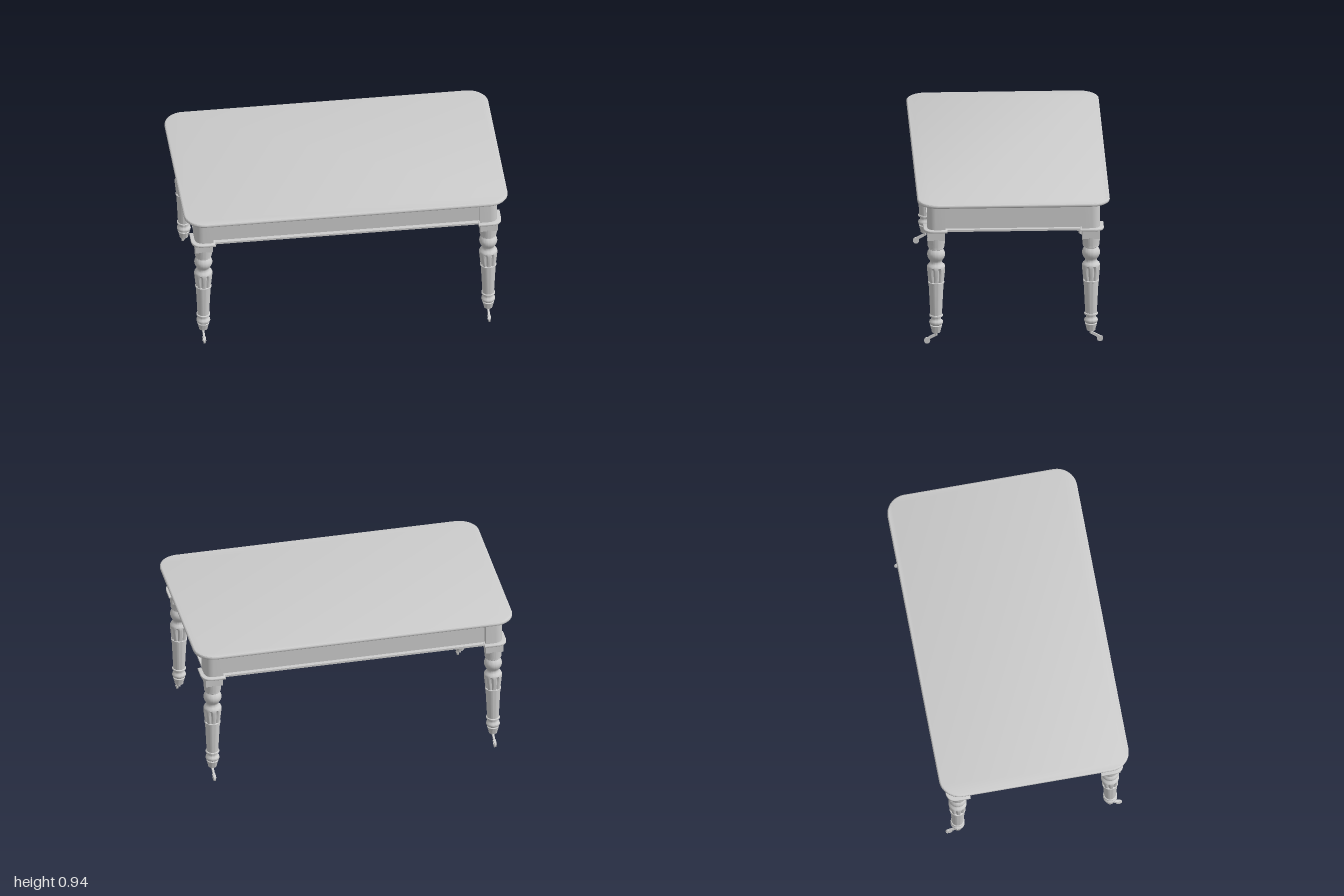
import * as THREE from 'three';
import { toCreasedNormals } from 'three/addons/utils/BufferGeometryUtils.js';

const LEG_X = 0.88, LEG_Z = 0.475;

export function createModel() {
  const table = new THREE.Group();
  table.name = 'table';
  const wood = new THREE.MeshStandardMaterial({ color: 0xcccccc });
  wood.name = 'pale grey';

  const add = (parent, name, geo, x = 0, y = 0, z = 0) => {
    const mesh = new THREE.Mesh(geo, wood);
    mesh.name = name;
    mesh.position.set(x, y, z);
    parent.add(mesh);
    return mesh;
  };
  const box = (parent, name, w, h, d, x, y, z) =>
    add(parent, name, new THREE.BoxGeometry(w, h, d), x, y, z);

  // Extrude a plan shape (x, z) downwards from y = 0
  const slab = (shape, depth, bevel = 0) => {
    const geo = new THREE.ExtrudeGeometry(shape, {
      depth: depth - 2 * bevel, curveSegments: 12,
      bevelEnabled: bevel > 0, bevelSize: bevel, bevelThickness: bevel, bevelSegments: 4,
    });
    geo.translate(0, 0, bevel);
    geo.rotateX(Math.PI / 2);
    return toCreasedNormals(geo, 0.6);
  };

  // Table top with rounded corners and edge
  const w = 0.99, d = 0.58, r = 0.115;
  const top = new THREE.Shape();
  top.absarc(w - r, d - r, r, 0, Math.PI / 2);
  top.absarc(r - w, d - r, r, Math.PI / 2, Math.PI);
  top.absarc(r - w, r - d, r, Math.PI, Math.PI * 1.5);
  top.absarc(w - r, r - d, r, Math.PI * 1.5, Math.PI * 2);
  add(table, 'tableTop', slab(top, 0.024, 0.01), 0, 0.944, 0);

  // Aprons between the posts, with a thin moulding below
  for (const s of [-1, 1]) {
    box(table, 'longApron', 1.66, 0.17, 0.02, 0, 0.838, s * 0.49);
    box(table, 'longMoulding', 1.66, 0.013, 0.05, 0, 0.751, s * 0.5);
    box(table, 'shortApron', 0.02, 0.17, 0.85, s * 0.895, 0.838, 0);
    box(table, 'shortMoulding', 0.05, 0.013, 0.85, s * 0.905, 0.751, 0);
  }

  // Square plan whose outward corner is rounded
  const cornerShape = (sx, sz, inner, outer, radius) => {
    const s = new THREE.Shape();
    s.moveTo(-sx * inner, -sz * inner);
    s.lineTo(sx * outer, -sz * inner);
    s.lineTo(sx * outer, sz * (outer - radius));
    s.quadraticCurveTo(sx * outer, sz * outer, sx * (outer - radius), sz * outer);
    s.lineTo(-sx * inner, sz * outer);
    s.closePath();
    return s;
  };

  // Turned leg profile, [radius, height]
  const profile = [
    [0, 0.075], [0.026, 0.075], [0.029, 0.09], [0.037, 0.12], [0.031, 0.124],
    [0.039, 0.13], [0.043, 0.14], [0.041, 0.15], [0.032, 0.157], [0.029, 0.167],
    [0.033, 0.178], [0.042, 0.181], [0.042, 0.189], [0.036, 0.192], [0.046, 0.395],
    [0.05, 0.397], [0.05, 0.405], [0.047, 0.407], [0.05, 0.43], [0.053, 0.46],
    [0.056, 0.49], [0.056, 0.505], [0.052, 0.515], [0.042, 0.523], [0.036, 0.535],
    [0.038, 0.545], [0.046, 0.556], [0.053, 0.57], [0.056, 0.585], [0.053, 0.6],
    [0.045, 0.614], [0.04, 0.62], [0.048, 0.626], [0.048, 0.636], [0.052, 0.638],
    [0.054, 0.665], [0.056, 0.695],
  ].map(([x, y]) => new THREE.Vector2(x, y));
  const lathe = new THREE.LatheGeometry(profile, 64);

  // Carve eight lobes into the swelling
  const pos = lathe.attributes.position;
  for (let i = 0; i < pos.count; i++) {
    const y = pos.getY(i);
    if (y < 0.406 || y > 0.5) continue;
    const a = Math.atan2(pos.getX(i), pos.getZ(i));
    const k = 1 - 0.2 * Math.pow(Math.abs(Math.sin(a * 4)), 6);
    pos.setX(i, pos.getX(i) * k);
    pos.setZ(i, pos.getZ(i) * k);
  }
  const legGeo = toCreasedNormals(lathe, 0.75);

  // Four corners: post, moulding, leg and caster
  for (const sx of [-1, 1]) for (const sz of [-1, 1]) {
    const corner = new THREE.Group();
    corner.name = 'corner';
    corner.position.set(sx * LEG_X, 0, sz * LEG_Z);
    table.add(corner);
    add(corner, 'post', slab(cornerShape(sx, sz, 0.057, 0.055, 0.06), 0.17), 0, 0.925, 0);
    add(corner, 'postMoulding', slab(cornerShape(sx, sz, 0.065, 0.075, 0.065), 0.014, 0.003), 0, 0.759, 0);
    box(corner, 'legBlock', 0.108, 0.058, 0.108, 0, 0.718, 0);
    add(corner, 'turnedLeg', legGeo);

    // Caster trails outwards along z
    const caster = new THREE.Group();
    caster.name = 'caster';
    if (sz < 0) caster.rotation.y = Math.PI;
    corner.add(caster);
    add(caster, 'casterStem', new THREE.CylinderGeometry(0.009, 0.009, 0.025, 12), 0, 0.067, 0);
    const arm = box(caster, 'casterArm', 0.012, 0.016, 0.065, 0, 0.046, 0.025);
    arm.rotation.x = 0.5;
    for (const s of [-1, 1]) {
      const fork = box(caster, 'casterFork', 0.003, 0.012, 0.03, s * 0.008, 0.031, 0.05);
      fork.rotation.x = 0.45;
    }
    const wheel = add(caster, 'casterWheel', new THREE.CylinderGeometry(0.019, 0.019, 0.012, 20), 0, 0.02, 0.055);
    wheel.rotation.z = Math.PI / 2;
    const axle = add(caster, 'casterAxle', new THREE.CylinderGeometry(0.005, 0.005, 0.022, 10), 0, 0.022, 0.055);
    axle.rotation.z = Math.PI / 2;
  }
  return table;
}
